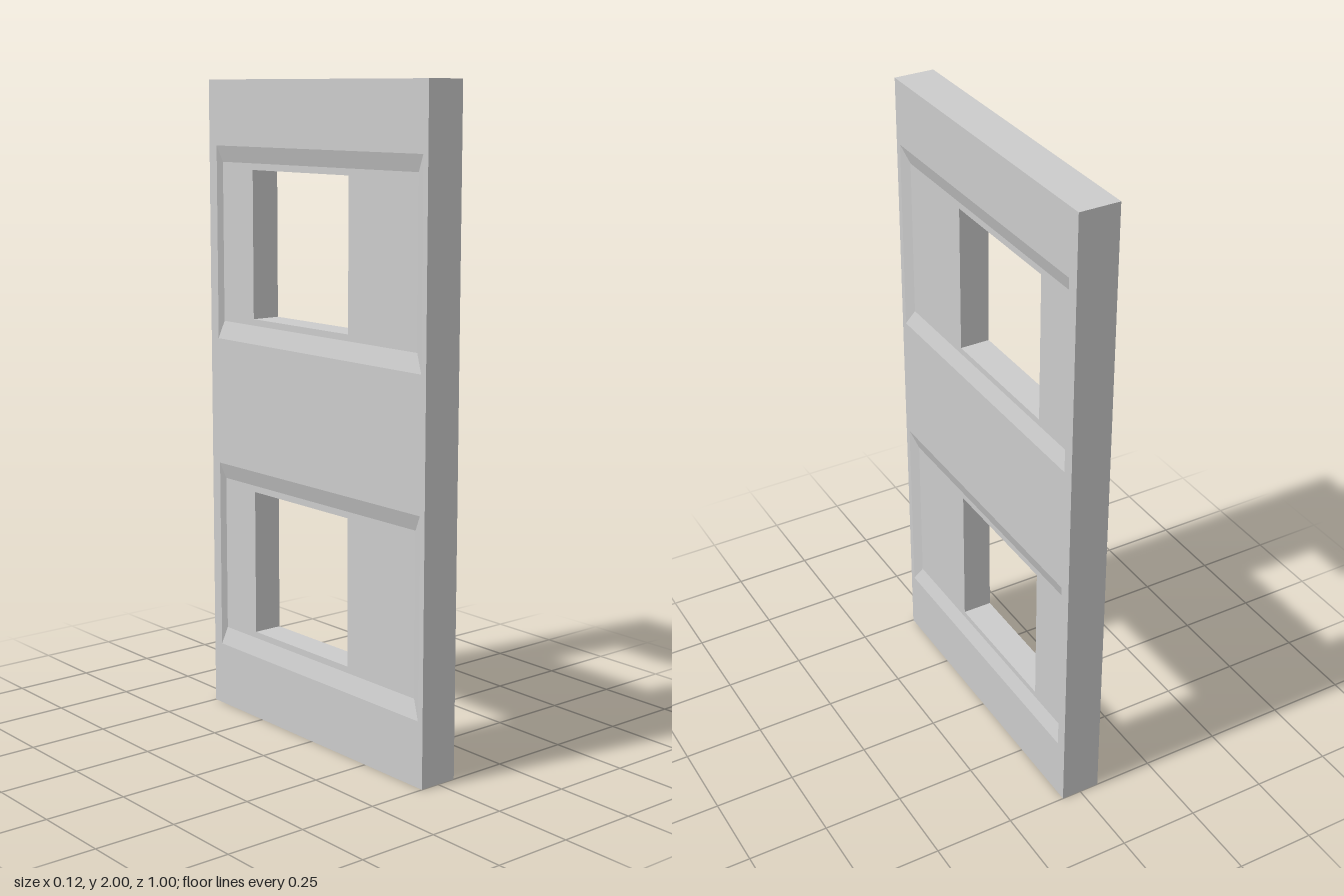
import * as THREE from 'three';

const HALF = 0.0625;   // half thickness of the panel
const FLOOR = 0.047;   // half thickness inside the recesses

// Rectangle in the z-y plane, corners in a fixed order
const rect = (z0, z1, y0, y1) => [[z0, y0], [z1, y0], [z1, y1], [z0, y1]];

// Flat face at x, with holes, facing away from the centre plane
function face(outline, holes, x) {
  const s = Math.sign(x);
  const points = (r) => r.map(([z, y]) => new THREE.Vector2(-s * z, y));
  const shape = new THREE.Shape(points(outline));
  for (const h of holes) shape.holes.push(new THREE.Path(points(h)));
  return new THREE.ShapeGeometry(shape).rotateY(s * Math.PI / 2).translate(x, 0, 0);
}

// Four walls joining loop a at xa to loop b at xb; they face inward when xa < xb
function band(a, xa, b, xb) {
  const pos = [];
  for (let i = 0; i < 4; i++) {
    const j = (i + 1) % 4;
    const p = [xa, a[i][1], a[i][0]], q = [xa, a[j][1], a[j][0]];
    const r = [xb, b[j][1], b[j][0]], t = [xb, b[i][1], b[i][0]];
    pos.push(...p, ...q, ...r, ...p, ...r, ...t);
  }
  const geometry = new THREE.BufferGeometry();
  geometry.setAttribute('position', new THREE.Float32BufferAttribute(pos, 3));
  geometry.computeVertexNormals();
  return geometry;
}

export function createModel() {
  const model = new THREE.Group();
  model.name = 'windowPanel';
  const material = new THREE.MeshStandardMaterial({ color: 0xcccccc, flatShading: true });
  const add = (name, geometry) => {
    const mesh = new THREE.Mesh(geometry, material);
    mesh.name = name;
    model.add(mesh);
  };

  const outline = rect(-0.5, 0.5, 0, 2);
  const bays = [0, 1].map((y) => ({
    rim: rect(-0.463, 0.48, y + 0.2, y + 0.8),
    floor: rect(-0.452, 0.446, y + 0.255, y + 0.75),
    opening: rect(-0.3, 0.15, y + 0.275, y + 0.73),
  }));

  // Outer edges of the slab
  add('panelEdge', band(outline, HALF, outline, -HALF));

  // Both broad faces, each with bevelled recesses
  for (const [side, s] of [['left', 1], ['right', -1]]) {
    add(side + 'Face', face(outline, bays.map((b) => b.rim), s * HALF));
    for (const { rim, floor, opening } of bays) {
      add(side + 'RecessFloor', face(floor, [opening], s * FLOOR));
      add(side + 'RecessBevel', s > 0
        ? band(floor, FLOOR, rim, HALF)
        : band(rim, -HALF, floor, -FLOOR));
    }
  }

  // Walls of the window openings through the slab
  for (const { opening } of bays) add('windowJamb', band(opening, -FLOOR, opening, FLOOR));

  return model;
}
